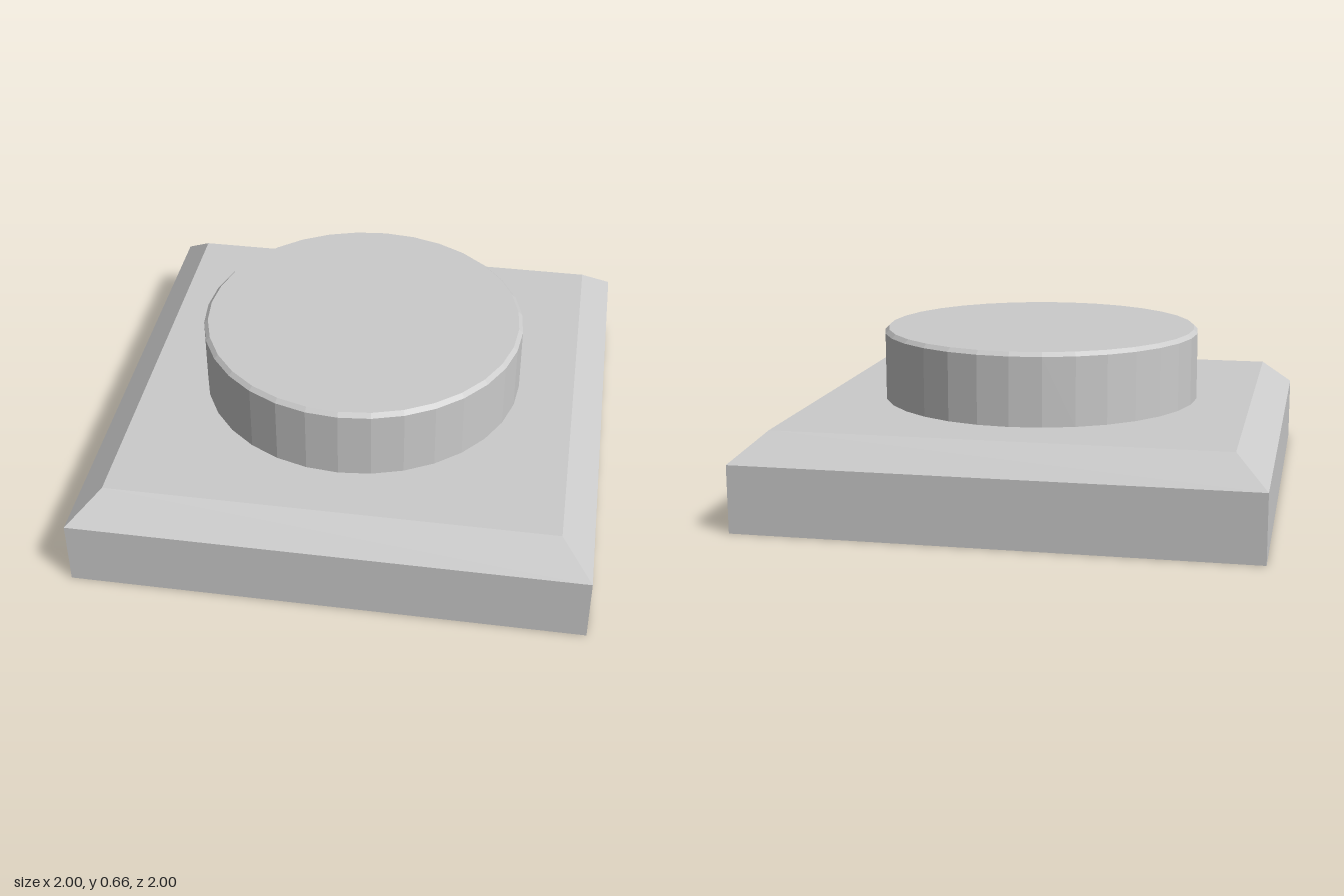
import * as THREE from 'three';

const material = new THREE.MeshStandardMaterial({ color: 0xcccccc, flatShading: true });

// Faceted solid turned from [radius, height] points, bottom to top
function turned(name, points, sides, startAngle = 0) {
  const profile = points.map(([r, y]) => new THREE.Vector2(r, y));
  const mesh = new THREE.Mesh(new THREE.LatheGeometry(profile, sides, startAngle), material);
  mesh.name = name;
  return mesh;
}

export function createModel() {
  const group = new THREE.Group();
  group.name = 'pushButton';

  // Square base with a sloped upper edge: a four-sided turning, half widths scaled to corner radii
  const corner = Math.SQRT2;
  const baseProfile = [[0, 0], [1, 0], [1, 0.265], [0.875, 0.375], [0, 0.375]]
    .map(([half, y]) => [half * corner, y]);
  group.add(turned('base', baseProfile, 4, Math.PI / 4));

  // Round button with a small bevel around the top
  group.add(turned('button', [[0.65, 0.375], [0.65, 0.647], [0.634, 0.663], [0, 0.663]], 32));

  return group;
}
